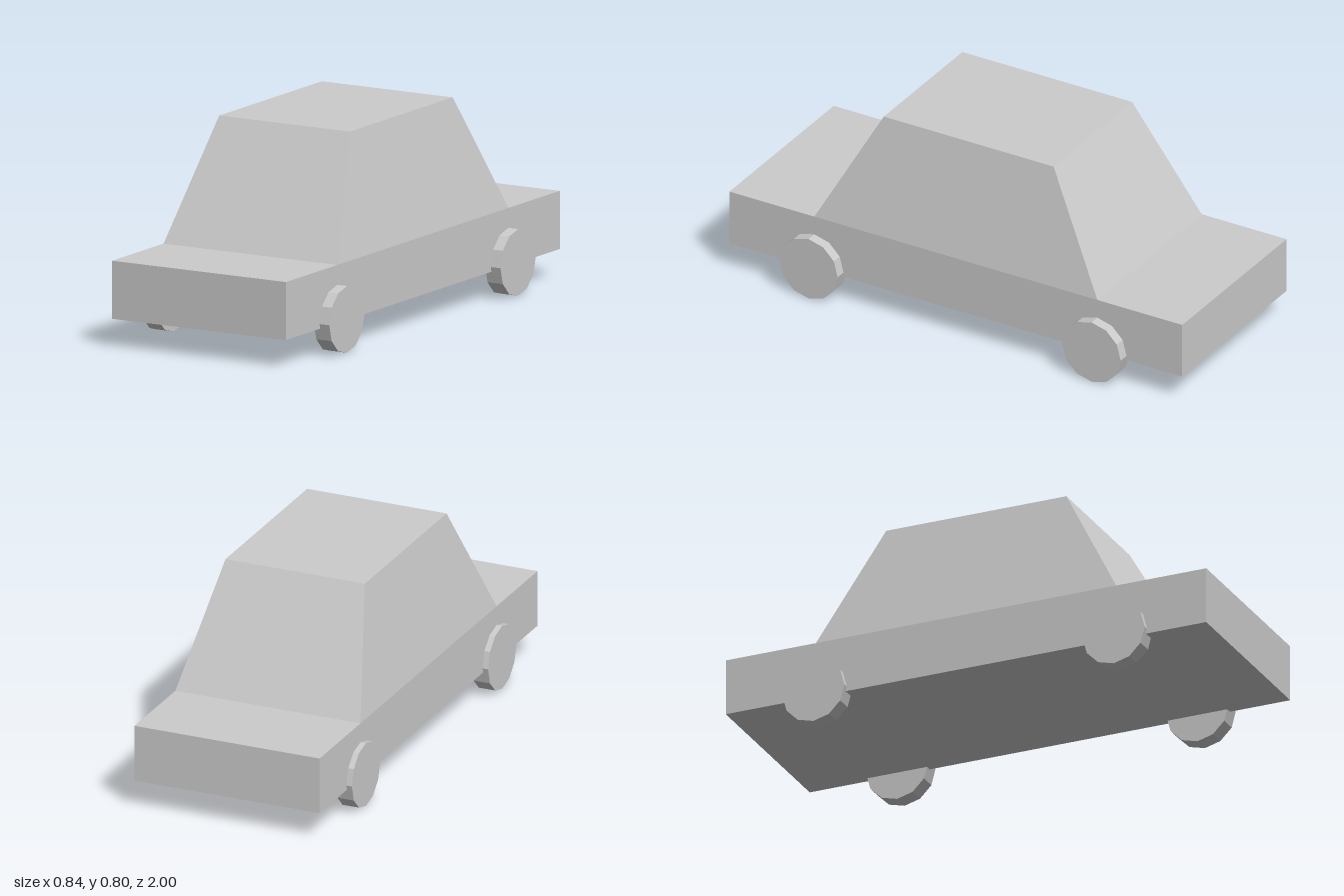
import * as THREE from 'three';

export function createModel() {
  const car = new THREE.Group();
  car.name = 'car';
  const material = new THREE.MeshStandardMaterial({ color: 0xcccccc, flatShading: true });

  const add = (name, geometry, x, y, z) => {
    const mesh = new THREE.Mesh(geometry, material);
    mesh.name = name;
    mesh.position.set(x, y, z);
    car.add(mesh);
    return mesh;
  };

  const bodyX = -0.01, bodyWidth = 0.77, bodyBottom = 0.11, bodyTop = 0.335, roofY = 0.797;

  // Lower body: one long slab
  const bodyHeight = bodyTop - bodyBottom;
  add('body', new THREE.BoxGeometry(bodyWidth, bodyHeight, 2), bodyX, bodyBottom + bodyHeight / 2, 0);

  // Cabin: a box whose roof corners are drawn inwards
  const cabinHeight = roofY - bodyTop;
  const cabin = new THREE.BoxGeometry(bodyWidth, cabinHeight, 1.25);
  const p = cabin.attributes.position;
  for (let i = 0; i < p.count; i++) {
    if (p.getY(i) > 0) {
      p.setX(i, Math.sign(p.getX(i)) * 0.29);
      p.setZ(i, Math.sign(p.getZ(i)) * 0.375);
    }
  }
  cabin.computeVertexNormals();
  add('cabin', cabin, bodyX, bodyTop + cabinHeight / 2, 0);

  // Wheels: twelve-sided discs with their axles along x
  const radius = 0.129;
  const wheel = new THREE.CylinderGeometry(radius, radius, 0.068, 12).rotateZ(Math.PI / 2);
  for (const [side, x] of [['Left', 0.384], ['Right', -0.384]]) {
    for (const [end, z] of [['front', 0.625], ['rear', -0.625]]) {
      add(`${end}${side}Wheel`, wheel, x, radius, z);
    }
  }
  return car;
}
